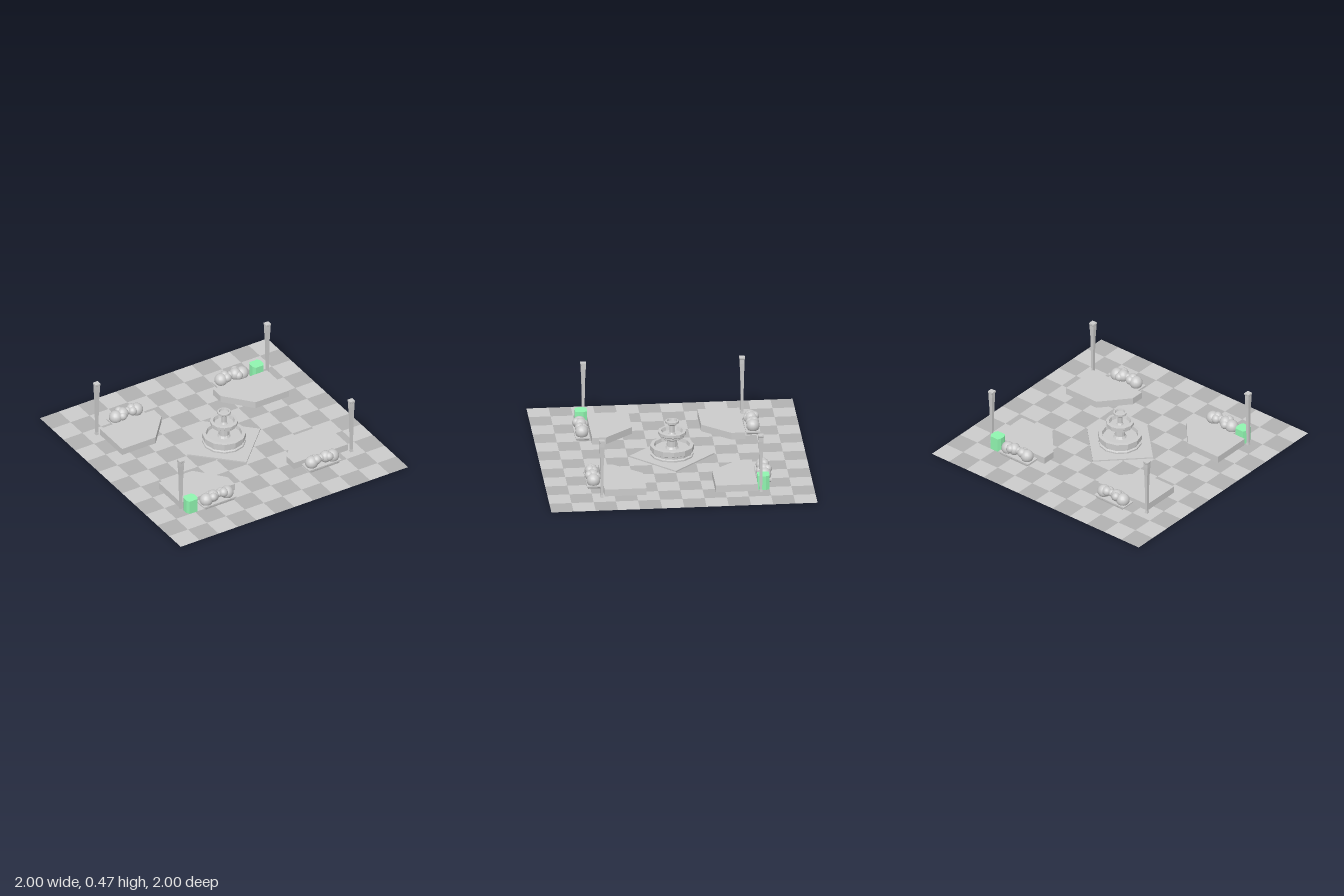
import * as THREE from 'three';
import { mergeGeometries } from 'three/addons/utils/BufferGeometryUtils.js';

const material = (color, side = THREE.FrontSide) =>
  new THREE.MeshStandardMaterial({ color, flatShading: true, side });
const grey = material(0xcccccc);
const green = material(0x90f5b0);

function add(parent, name, geometry, mat = grey) {
  const mesh = new THREE.Mesh(geometry, mat);
  mesh.name = name;
  parent.add(mesh);
  return mesh;
}

// Upright prism from an [x, z] outline, between heights y0 and y1
function prism(outline, y0, y1) {
  const shape = new THREE.Shape(outline.map(([x, z]) => new THREE.Vector2(x, -z)));
  return new THREE.ExtrudeGeometry(shape, { depth: y1 - y0, bevelEnabled: false })
    .rotateX(-Math.PI / 2).translate(0, y0, 0);
}

// Faceted turned form from [radius, height] points
const turned = (profile, sides, turn = 0) =>
  new THREE.LatheGeometry(profile.map(([r, y]) => new THREE.Vector2(r, y)), sides).rotateY(turn);

// Square turned form, given half widths
const squareTurned = (profile) =>
  turned(profile.map(([w, y]) => [w * Math.SQRT2, y]), 4, Math.PI / 4);

// Chequered paving, twelve tiles each way
function paving() {
  const group = new THREE.Group();
  group.name = 'paving';
  const n = 12, size = 2 / n, sets = [[], []];
  for (let i = 0; i < n; i++) {
    for (let j = 0; j < n; j++) {
      sets[(i + j) % 2].push(new THREE.PlaneGeometry(size, size).rotateX(-Math.PI / 2)
        .translate(-1 + (i + 0.5) * size, 0.007, -1 + (j + 0.5) * size));
    }
  }
  add(group, 'darkTiles', mergeGeometries(sets[0]), material(0xb2b2b2, THREE.DoubleSide));
  add(group, 'lightTiles', mergeGeometries(sets[1]), material(0xcccccc, THREE.DoubleSide));
  return group;
}

// Three-tier fountain on a diamond slab
function fountain() {
  const group = new THREE.Group();
  group.name = 'fountain';
  add(group, 'diamondSlab', prism([[0, -0.32], [0.32, 0], [0, 0.32], [-0.32, 0]], 0.008, 0.018));
  add(group, 'lowerBasin', turned([[0, 0.016], [0.163, 0.016], [0.163, 0.03], [0.15, 0.036],
    [0.15, 0.052], [0.165, 0.06], [0.165, 0.098], [0.137, 0.1], [0.132, 0.072], [0, 0.072]], 12));
  add(group, 'lowerColumn', turned([[0.052, 0.07], [0.04, 0.09], [0.038, 0.165]], 12));
  add(group, 'middleBowl', turned([[0, 0.148], [0.062, 0.148], [0.092, 0.165], [0.092, 0.178],
    [0.106, 0.188], [0.106, 0.21], [0.083, 0.212], [0.075, 0.185], [0, 0.185]], 12));
  add(group, 'upperColumn', turned([[0.028, 0.183], [0.018, 0.2], [0.018, 0.27]], 12));
  add(group, 'topBowl', turned([[0, 0.258], [0.03, 0.26], [0.04, 0.272], [0.051, 0.276],
    [0.051, 0.292], [0.039, 0.293], [0.035, 0.278], [0, 0.278]], 12));
  return group;
}

// Heaped balls, as [x, y, z, radius]
const BALLS = [
  [0.372, 0.07, 0.643, 0.05], [0.41, 0.088, 0.655, 0.036], [0.415, 0.08, 0.628, 0.035],
  [0.45, 0.085, 0.645, 0.028], [0.495, 0.08, 0.642, 0.046], [0.51, 0.09, 0.67, 0.033],
  [0.51, 0.075, 0.615, 0.033], [0.555, 0.066, 0.643, 0.051],
];

// One corner of the square; sx and sz mirror it
function corner(sx, sz) {
  const group = new THREE.Group();
  group.name = 'corner';
  let outline = [[0.26, 0.575], [0.735, 0.575], [0.735, 0.26], [0.44, 0.26], [0.26, 0.47]];
  add(group, 'platform', prism(outline.map(([x, z]) => [x * sx, z * sz]), 0.009, 0.063));

  // Tapered tray with a projecting rim
  const tray = new THREE.Group();
  tray.name = 'planter';
  tray.position.set(0.462 * sx, 0, 0.64 * sz);
  tray.scale.set(0.143, 1, 0.054);
  add(tray, 'tray', squareTurned([[0, 0.012], [0.86, 0.012], [0.92, 0.026],
    [1, 0.03], [1, 0.04], [0, 0.04]]));
  group.add(tray);

  const shrubs = BALLS.map(([x, y, z, r]) =>
    new THREE.SphereGeometry(r, 16, 10).translate(x * sx, y, z * sz));
  const smooth = new THREE.MeshStandardMaterial({ color: 0xcccccc });
  add(group, 'shrubs', mergeGeometries(shrubs), smooth);

  // Square post that widens to its head
  add(group, 'lampPost', squareTurned([[0, 0.008], [0.012, 0.008], [0.009, 0.03], [0.012, 0.25],
    [0.014, 0.34], [0.018, 0.42], [0.018, 0.452], [0.021, 0.456], [0.021, 0.47], [0, 0.47]]))
    .position.set(0.75 * sx, 0, 0.597 * sz);
  return group;
}

// Eight-sided bin
function bin(x, z) {
  const half = [[0.048, -0.018], [0.048, 0.018], [0.035, 0.045]];
  const outline = [...half, ...half.map(([a, b]) => [-a, -b])];
  outline.splice(3, 0, [-0.035, 0.045]);
  outline.push([0.035, -0.045]);
  const mesh = new THREE.Mesh(prism(outline, 0, 0.118), green);
  mesh.name = 'bin';
  mesh.position.set(x, 0, z);
  return mesh;
}

export function createModel() {
  const model = new THREE.Group();
  model.name = 'plaza';
  model.add(paving(), fountain());
  for (const sx of [-1, 1]) for (const sz of [-1, 1]) model.add(corner(sx, sz));
  model.add(bin(-0.68, 0.622), bin(0.672, -0.622));
  return model;
}
